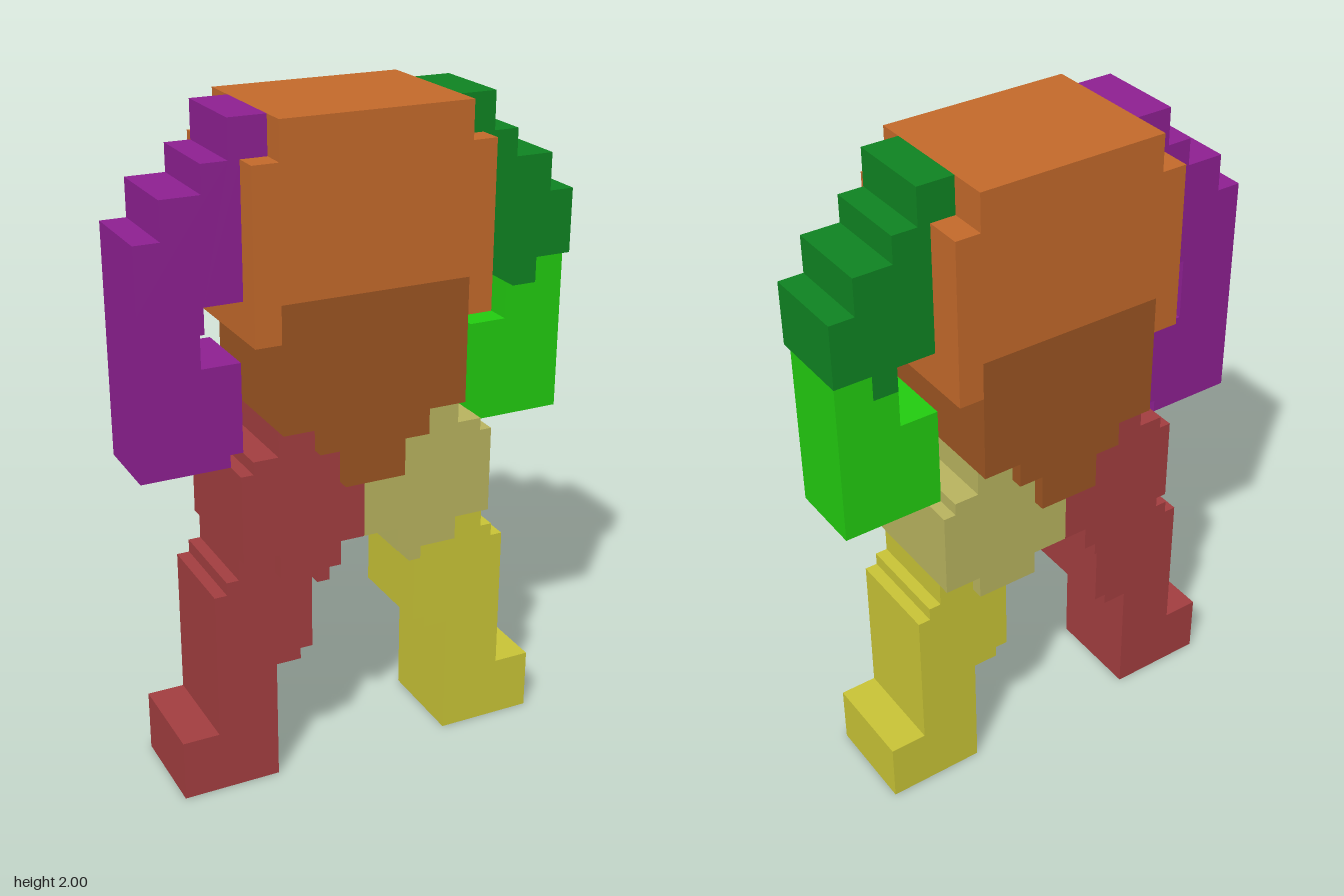
import * as THREE from 'three';

const paint = (name, color) => {
  const m = new THREE.MeshStandardMaterial({ color });
  m.name = name;
  return m;
};

// Stepped slab: a stair outline in x,y pushed out from z0 to z1
function slab(name, outline, z0, z1, material, mirror = false) {
  const pts = outline.map(([x, y]) => new THREE.Vector2(mirror ? -x : x, y));
  const geo = new THREE.ExtrudeGeometry(new THREE.Shape(pts), { depth: z1 - z0, bevelEnabled: false });
  geo.translate(0, 0, z0);
  const mesh = new THREE.Mesh(geo, material);
  mesh.name = name;
  return mesh;
}

export function createModel() {
  const orange = paint('orange', 0xc46a2b);
  const brown = paint('brown', 0x9c5522);
  const purple = paint('purple', 0x8e2092);
  const darkGreen = paint('dark green', 0x0f8422);
  const brightGreen = paint('bright green', 0x22cc10);
  const red = paint('red', 0xa33e40);
  const khaki = paint('khaki', 0xb9b45f);
  const yellow = paint('yellow', 0xc9c436);

  const model = new THREE.Group();
  model.name = 'blockFigure';

  // Torso: wide chest over a belly that steps down to a point
  model.add(slab('chest', [
    [-0.36, 1.4], [-0.283, 1.4], [-0.283, 1.51], [0.283, 1.51], [0.283, 1.4], [0.357, 1.4],
    [0.357, 1.89], [0.283, 1.89], [0.283, 2], [-0.283, 2], [-0.283, 1.89], [-0.36, 1.89],
  ], -0.225, 0.225, orange));
  model.add(slab('belly', [
    [-0.283, 1.51], [-0.283, 1.137], [-0.173, 1.137], [-0.173, 1.06], [-0.095, 1.06], [-0.095, 0.947],
    [0.092, 0.947], [0.092, 1.06], [0.168, 1.06], [0.168, 1.137], [0.283, 1.137], [0.283, 1.51],
  ], -0.225, 0.225, brown));

  // Outlines of the left limbs, mirrored for the right
  const upperArm = [
    [0.357, 1.51], [0.472, 1.51], [0.472, 1.435], [0.547, 1.435], [0.547, 1.51], [0.658, 1.51],
    [0.658, 1.7], [0.583, 1.7], [0.583, 1.81], [0.468, 1.81], [0.468, 1.89], [0.393, 1.89],
    [0.393, 2], [0.283, 2], [0.283, 1.89], [0.357, 1.89],
  ];
  const forearmTop = [[0.658, 1.51], [0.547, 1.51], [0.547, 1.435], [0.472, 1.435], [0.472, 1.325], [0.357, 1.325]];
  const forearm = [...forearmTop, [0.357, 1.022], [0.658, 1.022]];
  const notchedForearm = [...forearmTop, [0.357, 1.06], [0.395, 1.06], [0.395, 1.022], [0.658, 1.022]];
  const hip = [
    [0.092, 0.76], [0.092, 0.685], [0.283, 0.685], [0.283, 0.757], [0.395, 0.757], [0.395, 1.022],
    [0.358, 1.022], [0.358, 1.06], [0.283, 1.06], [0.283, 1.137], [0.168, 1.137], [0.168, 1.06],
  ];
  const hipTip = [[0.13, 0.645], [0.168, 0.645], [0.168, 0.685], [0.13, 0.685]];
  const leg = [
    [0.283, 0], [0.583, 0], [0.583, 0.19], [0.47, 0.19], [0.47, 0.645], [0.432, 0.645], [0.432, 0.685],
    [0.395, 0.685], [0.395, 0.757], [0.283, 0.757], [0.283, 0.685], [0.168, 0.685], [0.168, 0.415],
    [0.206, 0.415], [0.206, 0.38], [0.283, 0.38],
  ];

  const sides = [
    { side: 'left', mirror: false, seam: -0.018, arm: darkGreen, fore: brightGreen, foreOutline: forearm, hipMat: khaki, legMat: yellow },
    { side: 'right', mirror: true, seam: 0.018, arm: purple, fore: purple, foreOutline: notchedForearm, hipMat: red, legMat: red },
  ];
  for (const { side, mirror, seam, arm, fore, foreOutline, hipMat, legMat } of sides) {
    // Arm
    model.add(slab(side + 'UpperArm', upperArm, -0.112, 0.15, arm, mirror));
    model.add(slab(side + 'Forearm', foreOutline, -0.112, 0.115, fore, mirror));
    // Hip, the two halves meeting at the seam, with a small lower step
    const hipOutline = [[seam, 1.06], [seam, 0.76], ...hip];
    model.add(slab(side + 'Hip', hipOutline, -0.188, 0.188, hipMat, mirror));
    model.add(slab(side + 'HipTip', hipTip, mirror ? -0.188 : -0.15, 0.188, hipMat, mirror));
    // Leg with an outward foot
    model.add(slab(side + 'Leg', leg, -0.15, 0.15, legMat, mirror));
  }
  return model;
}
